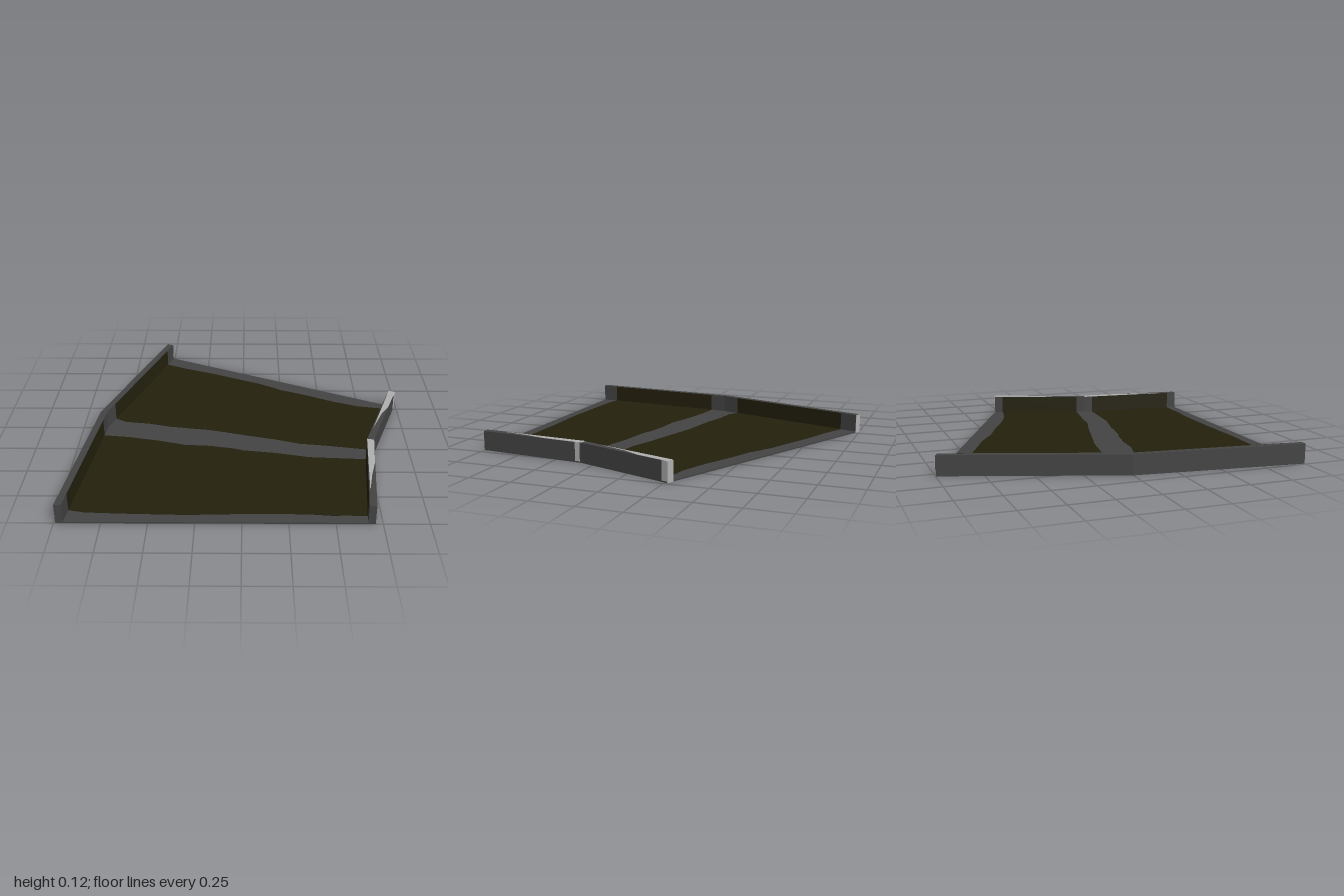
import * as THREE from 'three';

const material = (name, color) => {
  const m = new THREE.MeshStandardMaterial({ color });
  m.name = name;
  return m;
};

// Upright prism over an outline of [x, z] points
function slab(name, points, y0, y1, mat) {
  const shape = new THREE.Shape(points.map(([x, z]) => new THREE.Vector2(x, -z)));
  const geo = new THREE.ExtrudeGeometry(shape, { depth: y1 - y0, bevelEnabled: false });
  geo.rotateX(-Math.PI / 2).translate(0, y0, 0);
  const mesh = new THREE.Mesh(geo, mat);
  mesh.name = name;
  return mesh;
}

// x of a front-to-back polyline at a given z
function xAt(line, z) {
  const [a, b] = z > line[1][1] ? [line[0], line[1]] : [line[1], line[2]];
  return a[0] + (b[0] - a[0]) * (z - a[1]) / (b[1] - a[1]);
}

export function createModel() {
  const group = new THREE.Group();
  group.name = 'bentTrackSection';
  const grey = material('dark grey', 0x444444);
  const olive = material('dark olive', 0x24210d);
  const light = material('light grey', 0xb0b0b0);
  const floorTop = 0.008, wallTop = 0.116, skin = 0.002;

  // Wall lines, front to back
  const leftOuter = [[-0.99, 1], [-0.885, 0], [-0.545, -1]];
  const leftInner = [[-0.95, 1], [-0.846, 0.01], [-0.508, -0.982]];
  const rightOuter = [[0.71, 1], [0.776, 0.33], [0.985, -0.267]];
  const rightInner = [[0.67, 1], [0.736, 0.32], [0.947, -0.285]];

  // Floor and side walls
  group.add(slab('floor', [...leftOuter, ...[...rightOuter].reverse()], 0, floorTop, grey));
  group.add(slab('leftWall', [...leftOuter, ...[...leftInner].reverse()], 0, wallTop, grey));
  group.add(slab('rightWall', [...rightOuter, ...[...rightInner].reverse()], 0, wallTop, grey));

  // Worn-edged olive floor panels
  const backPanel = [
    [-0.543, -0.88], [-0.4, -0.81], [-0.2, -0.73], [0, -0.635], [0.1, -0.59], [0.2, -0.53],
    [0.25, -0.495], [0.4, -0.43], [0.6, -0.33], [0.75, -0.27], [0.93, -0.235],
    [0.757, 0.265], [0.5, 0.22], [0.35, 0.2], [0.2, 0.15], [0.05, 0.11], [-0.2, 0.04],
    [-0.45, 0], [-0.6, -0.04], [-0.74, -0.06], [-0.808, -0.1],
  ];
  const frontPanel = [
    [-0.856, 0.11], [-0.7, 0.13], [-0.5, 0.175], [-0.35, 0.22], [-0.2, 0.23], [-0.05, 0.26],
    [0, 0.28], [0.2, 0.31], [0.4, 0.355], [0.55, 0.365], [0.73, 0.375],
    [0.675, 0.94], [0.55, 0.935], [0.5, 0.94], [0.35, 0.925], [0, 0.925], [-0.3, 0.935],
    [-0.65, 0.925], [-0.85, 0.915], [-0.938, 0.895],
  ];
  group.add(slab('backFloorPanel', backPanel, floorTop, floorTop + skin, olive));
  group.add(slab('frontFloorPanel', frontPanel, floorTop, floorTop + skin, olive));

  // Thin plates on the wall sides
  const sidePlate = (name, line, z0, z1, dx, mat) => {
    const x0 = xAt(line, z0), x1 = xAt(line, z1);
    const pts = [[x0, z0], [x1, z1], [x1 + dx, z1], [x0 + dx, z0]];
    group.add(slab(name, pts, floorTop, wallTop, mat));
  };
  sidePlate('leftWallBackPanel', leftInner, -0.88, -0.1, skin, olive);
  sidePlate('leftWallFrontPanel', leftInner, 0.11, 0.895, skin, olive);
  sidePlate('rightWallBackPanel', rightInner, -0.235, 0.265, -skin, olive);
  sidePlate('rightWallFrontPanel', rightInner, 0.375, 0.94, -skin, olive);
  sidePlate('rightWallJointStrip', rightOuter, 0.34, 0.37, skin, light);
  sidePlate('rightWallEndStrip', rightOuter, -0.266, -0.232, skin, light);

  // Light plates on the back ends of the walls
  for (const [name, a, b] of [
    ['leftWallEnd', leftOuter[2], leftInner[2]],
    ['rightWallEnd', rightInner[2], rightOuter[2]],
  ]) {
    const pts = [a, b, [b[0] + 0.001, b[1] - skin], [a[0] + 0.001, a[1] - skin]];
    group.add(slab(name, pts, 0, wallTop, light));
  }

  // Tapering light wear on top of the right wall
  const wear = [
    ['backTopWear', [[0.947, -0.285], [0.985, -0.267], [0.915, -0.07], [0.86, 0.02], [0.79, 0.19]]],
    ['frontTopWear', [[0.736, 0.32], [0.776, 0.33], [0.75, 0.58], [0.72, 0.7], [0.69, 0.86]]],
  ];
  for (const [name, pts] of wear) group.add(slab(name, pts, wallTop, wallTop + skin, light));

  return group;
}
